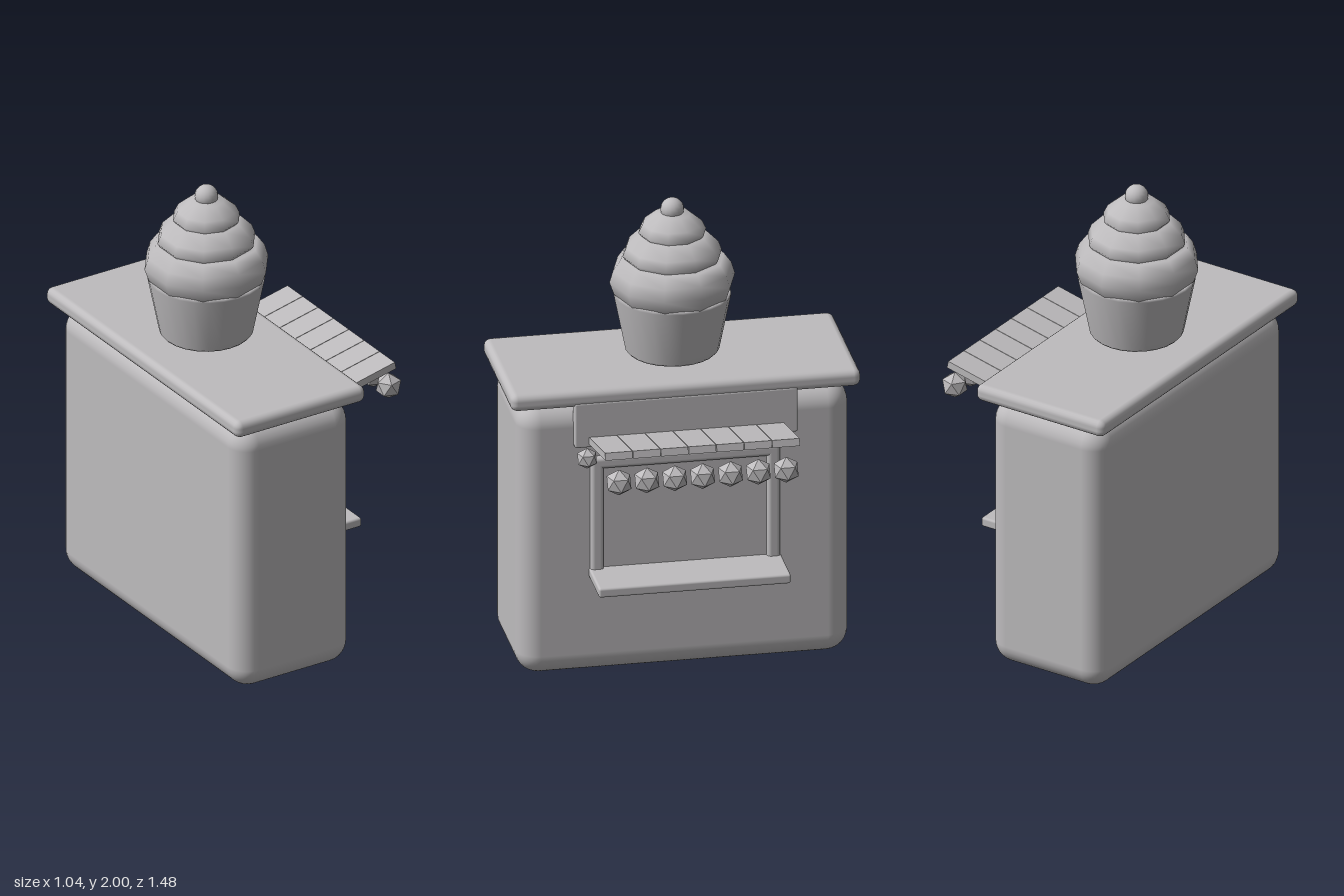
import * as THREE from 'three';
import { RoundedBoxGeometry } from 'three/addons/geometries/RoundedBoxGeometry.js';

export function createModel() {
  const model = new THREE.Group();
  model.name = 'cupcakeKiosk';
  const grey = new THREE.MeshStandardMaterial({ color: 0xbebcbe });
  grey.name = 'paleGrey';
  const greyFacets = grey;

  function add(name, geometry, x, y, z, parent = model) {
    const mesh = new THREE.Mesh(geometry, grey);
    mesh.name = name;
    mesh.position.set(x, y, z);
    parent.add(mesh);
    return mesh;
  }

  // Rounded box given by its extents on each axis
  function block(name, [x0, x1], [y0, y1], [z0, z1], radius, parent = model, segments = 2) {
    return add(name, new RoundedBoxGeometry(x1 - x0, y1 - y0, z1 - z0, segments, radius),
      (x0 + x1) / 2, (y0 + y1) / 2, (z0 + z1) / 2, parent);
  }

  // Faceted bulb standing on one vertex
  function bulbGeometry(radius) {
    return new THREE.IcosahedronGeometry(radius, 0).rotateZ(Math.atan(2 / (1 + Math.sqrt(5))));
  }

  // Body, roof and the board behind the awning
  block('body', [-0.485, 0.08], [0, 1.215], [-0.7, 0.7], 0.095, model, 4);
  block('roof', [-0.523, 0.115], [1.22, 1.295], [-0.738, 0.738], 0.03);
  block('awningBoard', [0.06, 0.115], [1.04, 1.24], [-0.47, 0.47], 0.008);

  // Serving window frame and counter
  const frame = new THREE.Group();
  frame.name = 'windowFrame';
  model.add(frame);
  const depth = [0.055, 0.105];
  block('frameTop', depth, [0.932, 0.985], [-0.4, 0.4], 0.018, frame);
  block('frameBottom', depth, [0.425, 0.478], [-0.4, 0.4], 0.018, frame);
  for (const side of [-1, 1]) {
    block('frameSide', depth, [0.425, 0.985], [side * 0.372 - 0.028, side * 0.372 + 0.028], 0.018, frame);
  }
  block('counter', [0.06, 0.305], [0.44, 0.482], [-0.405, 0.405], 0.01);

  // Awning slats sloping up and outwards, with a bulb hanging before each
  const awning = new THREE.Group();
  awning.name = 'awning';
  model.add(awning);
  const pitch = 0.1175;
  for (let i = -3; i <= 3; i++) {
    const slat = add('awningSlat', new THREE.BoxGeometry(0.385, 0.032, 0.115), 0.28, 1.107, i * pitch, awning);
    slat.rotation.z = 0.22;
    add('awningBulb', bulbGeometry(0.058), 0.47, 1.03, i * pitch, awning);
  }
  add('cornerBulb', bulbGeometry(0.046), 0.12, 0.995, 0.42);

  // Cupcake on the roof
  const cupcake = new THREE.Group();
  cupcake.name = 'cupcake';
  cupcake.position.x = -0.2;
  model.add(cupcake);
  function turned(name, profile, sides) {
    const points = profile.map(([r, y]) => new THREE.Vector2(r, y));
    return add(name, new THREE.LatheGeometry(points, sides), 0, 0, 0, cupcake);
  }
  turned('cup', [[0, 1.318], [0.185, 1.318], [0.196, 1.33], [0.245, 1.575], [0.238, 1.585], [0, 1.585]], 24);
  turned('lowerIcing', [[0, 1.56], [0.225, 1.563], [0.246, 1.585], [0.265, 1.64], [0.25, 1.69], [0.218, 1.735], [0, 1.75]], 10);
  turned('middleIcing', [[0, 1.72], [0.19, 1.725], [0.209, 1.752], [0.195, 1.79], [0.145, 1.84], [0, 1.85]], 10);
  turned('upperIcing', [[0, 1.825], [0.125, 1.83], [0.143, 1.853], [0.125, 1.89], [0.075, 1.932], [0, 1.945]], 10);
  add('cherry', new THREE.SphereGeometry(0.049, 16, 12), 0, 1.951, 0, cupcake);

  // Facet the bulbs by their own unshared normals
  model.traverse((part) => {
    if (part.isMesh && part.name.endsWith('Bulb')) part.geometry.computeVertexNormals();
  });
  return model;
}
